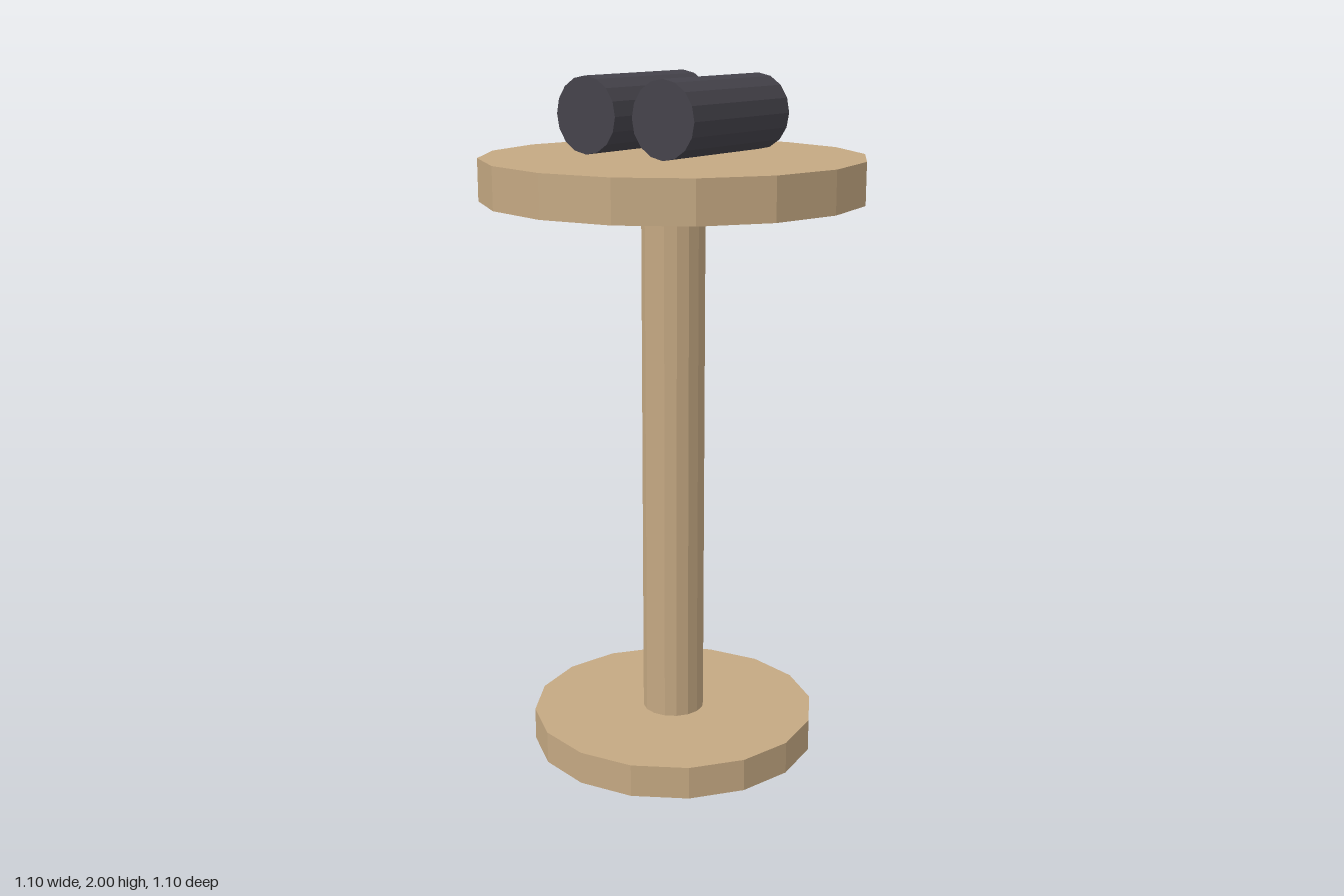
import * as THREE from 'three';

const SIDES = 16;

export function createModel() {
  const model = new THREE.Group();
  model.name = 'pedestalTable';

  const wood = new THREE.MeshStandardMaterial({ color: 0xc4a882 });
  wood.name = 'tan wood';
  const dark = new THREE.MeshStandardMaterial({ color: 0x44424a });
  dark.name = 'dark grey';

  // Faceted cylinder with a corner on the +x axis
  const facetedCylinder = (radius, length) => {
    const geometry = new THREE.CylinderGeometry(radius, radius, length, SIDES).toNonIndexed();
    geometry.computeVertexNormals();
    return geometry;
  };

  // Upright parts: name, radius, bottom, top
  const uprights = [
    ['base', 0.426, 0, 0.096],
    ['post', 0.092, 0.096, 1.654],
    ['tableTop', 0.549, 1.654, 1.774],
  ];
  for (const [name, radius, bottom, top] of uprights) {
    const part = new THREE.Mesh(facetedCylinder(radius, top - bottom), wood);
    part.name = name;
    part.position.y = (bottom + top) / 2;
    model.add(part);
  }

  // Pair of rollers lying front to back just above the table top
  for (const side of [-1, 1]) {
    const roller = new THREE.Mesh(facetedCylinder(0.107, 0.428), dark);
    roller.name = side > 0 ? 'leftRoller' : 'rightRoller';
    roller.rotation.x = Math.PI / 2;
    roller.position.set(side * 0.137, 1.893, 0);
    model.add(roller);
  }

  return model;
}
